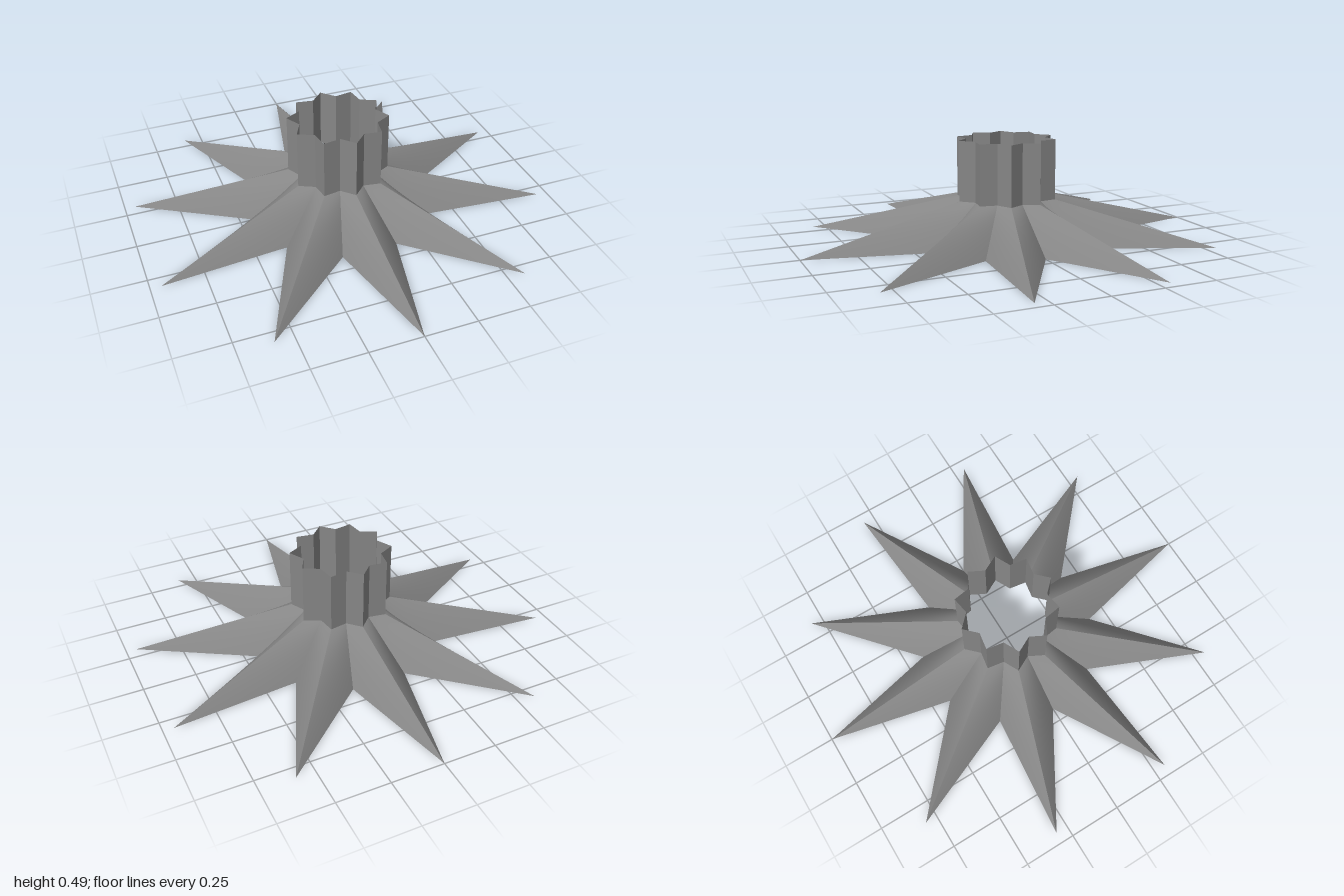
import * as THREE from 'three';
import { mergeGeometries } from 'three/addons/utils/BufferGeometryUtils.js';

const POINTS = 10;

// Star outline corner k (even = tip, odd = valley) at height y
function corner(k, { tip, valley, y }) {
  const a = (k * Math.PI) / POINTS;
  const r = k % 2 ? valley : tip;
  return new THREE.Vector3(r * Math.sin(a), y, r * Math.cos(a));
}

// Ruled wall between two star outlines, one smooth patch per side, sharp at ridges
function starWall(name, lower, upper, steps) {
  const patches = [];
  for (let k = 0; k < POINTS * 2; k++) {
    const [a, b] = [corner(k, lower), corner(k + 1, lower)];
    const [c, d] = [corner(k, upper), corner(k + 1, upper)];
    const patch = new THREE.PlaneGeometry(1, 1, steps, steps);
    const pos = patch.attributes.position;
    for (let i = 0; i < pos.count; i++) {
      const u = pos.getX(i) + 0.5;
      const v = pos.getY(i) + 0.5;
      const p = a.clone().lerp(b, u).lerp(c.clone().lerp(d, u), v);
      pos.setXYZ(i, p.x, p.y, p.z);
    }
    patch.computeVertexNormals();
    patches.push(patch);
  }
  const material = new THREE.MeshStandardMaterial({ color: 0x868686, side: THREE.DoubleSide });
  const mesh = new THREE.Mesh(mergeGeometries(patches), material);
  mesh.name = name;
  return mesh;
}

export function createModel() {
  const group = new THREE.Group();
  group.name = 'starFlaredTube';

  const base = { tip: 1, valley: 0.433, y: 0 };
  const neck = { tip: 0.24, valley: 0.19, y: 0.198 };
  const rim = { ...neck, y: 0.487 };

  // Flared skirt of spikes, then the straight fluted collar; both open-ended
  group.add(starWall('flaredSkirt', base, neck, 10));
  group.add(starWall('flutedCollar', neck, rim, 1));
  return group;
}
